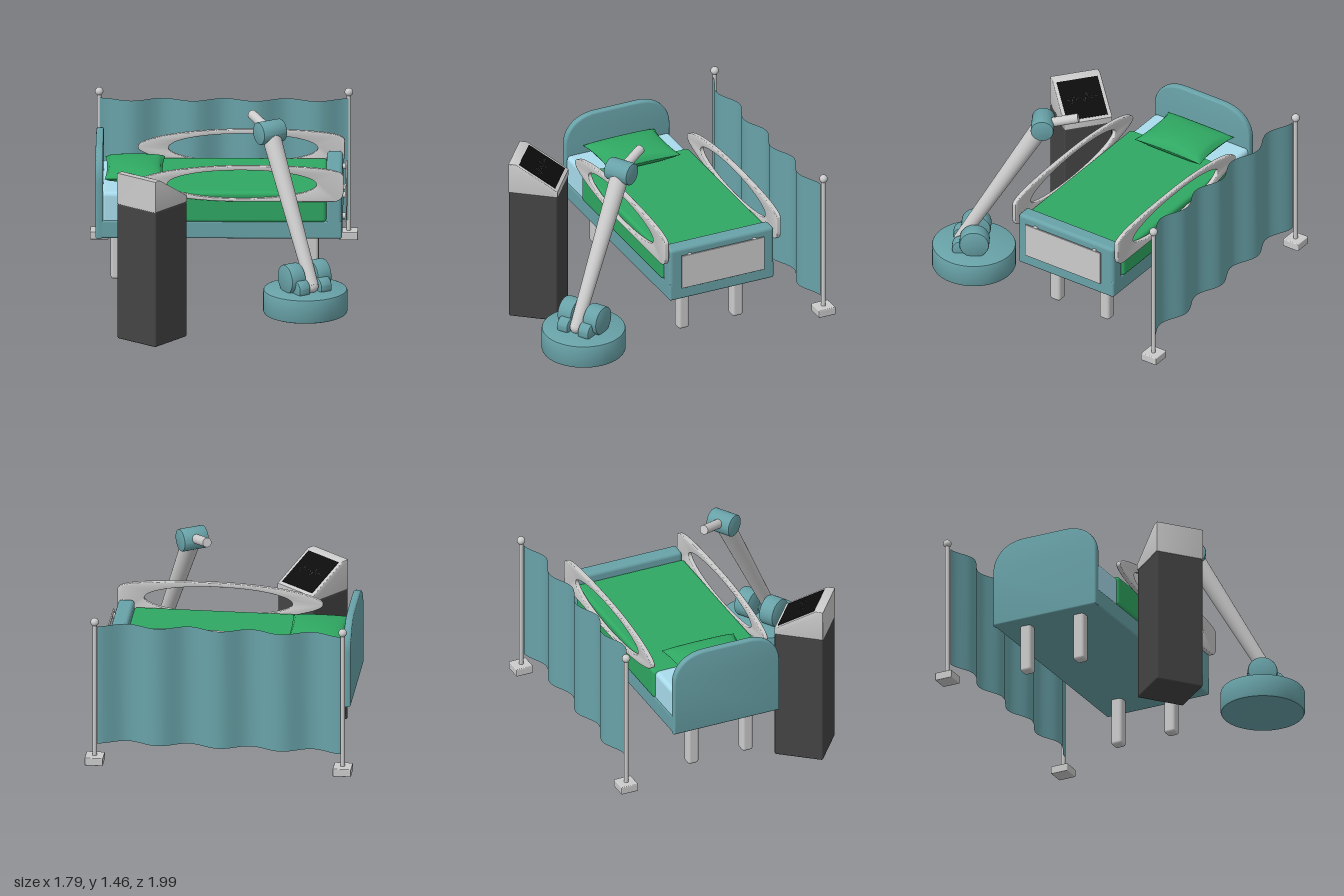
import * as THREE from 'three';
import { mergeVertices, toCreasedNormals } from 'three/addons/utils/BufferGeometryUtils.js';
import { RoundedBoxGeometry } from 'three/addons/geometries/RoundedBoxGeometry.js';

const mat = (color) => new THREE.MeshStandardMaterial({ color });
const GREY = mat(0xcccccc), TEAL = mat(0x68a2a8), GREEN = mat(0x2fa862), SHEET = mat(0xa9dcec);
const DARK = mat(0x444444), BLACK = mat(0x0c0c0c), TRACE = mat(0x666666);
const CLOTH = mat(0x68a2a8);
CLOTH.side = THREE.DoubleSide;

function add(parent, name, geometry, material, x = 0, y = 0, z = 0) {
  const mesh = new THREE.Mesh(geometry, material);
  mesh.name = name;
  mesh.position.set(x, y, z);
  parent.add(mesh);
  return mesh;
}

function group(parent, name, x = 0, y = 0, z = 0) {
  const g = new THREE.Group();
  g.name = name;
  g.position.set(x, y, z);
  parent.add(g);
  return g;
}

// Rounded box given by its limits on each axis
function block(parent, name, material, [x0, x1], [y0, y1], [z0, z1], r = 0.015) {
  const geo = new RoundedBoxGeometry(x1 - x0, y1 - y0, z1 - z0, 3, r);
  return add(parent, name, geo, material, (x0 + x1) / 2, (y0 + y1) / 2, (z0 + z1) / 2);
}

// Cylinder running between two points
function rod(parent, name, material, from, to, r0, r1 = r0) {
  const a = new THREE.Vector3(...from), b = new THREE.Vector3(...to);
  const dir = b.clone().sub(a);
  const mesh = add(parent, name, new THREE.CylinderGeometry(r1, r0, dir.length(), 32), material);
  mesh.position.copy(a).add(b).multiplyScalar(0.5);
  mesh.quaternion.setFromUnitVectors(new THREE.Vector3(0, 1, 0), dir.normalize());
  return mesh;
}

// Solid of revolution with softly bevelled rims, centred on its axis
function drum(r, h, bevel) {
  const p = [[0, -h / 2], [r - bevel, -h / 2], [r - bevel * 0.3, -h / 2 + bevel * 0.3], [r, -h / 2 + bevel],
    [r, h / 2 - bevel], [r - bevel * 0.3, h / 2 - bevel * 0.3], [r - bevel, h / 2], [0, h / 2]];
  return toCreasedNormals(new THREE.LatheGeometry(p.map((q) => new THREE.Vector2(...q)), 48), 0.6);
}

function extrude(shape, depth, bevel) {
  const geo = new THREE.ExtrudeGeometry(shape, {
    depth: depth - 2 * bevel, bevelEnabled: bevel > 0, bevelSize: bevel, bevelThickness: bevel,
    bevelOffset: -bevel, bevelSegments: 3, curveSegments: 32,
  });
  geo.translate(0, 0, bevel - depth / 2);
  return toCreasedNormals(geo, 0.6);
}

// Cushion with pinched sides and thin drawn-out corners
function pillowGeometry() {
  const geo = new THREE.BoxGeometry(2, 2, 2, 24, 1, 24);
  const p = geo.attributes.position;
  for (let i = 0; i < p.count; i++) {
    const u = p.getX(i), w = p.getZ(i);
    const thick = 0.06 * Math.pow((1 - u * u) * (1 - w * w), 0.4);
    p.setXYZ(i, 0.2 * u * (1 - 0.07 * (1 - w * w)), p.getY(i) * (thick + 0.001), 0.265 * w * (1 - 0.08 * (1 - u * u)));
  }
  geo.deleteAttribute('normal');
  geo.deleteAttribute('uv');
  const smooth = mergeVertices(geo);
  smooth.computeVertexNormals();
  return smooth;
}

function buildBed(root) {
  const bed = group(root, 'bed');
  block(bed, 'bedFrame', TEAL, [-0.84, 0.8], [0.58, 0.705], [-0.59, 0.185]);
  block(bed, 'footboard', TEAL, [0.69, 0.8], [0.58, 0.965], [-0.59, 0.185], 0.025);
  block(bed, 'mattress', SHEET, [-0.81, 0.7], [0.68, 0.9], [-0.585, 0.18], 0.03);
  block(bed, 'blanket', GREEN, [-0.54, 0.695], [0.695, 0.91], [-0.6, 0.195], 0.025);
  add(bed, 'pillow', pillowGeometry(), GREEN, -0.59, 0.955, -0.205);

  // Arched headboard
  const arch = new THREE.Shape();
  arch.moveTo(-0.388, 0.58);
  arch.lineTo(0.388, 0.58);
  arch.lineTo(0.388, 0.965);
  arch.bezierCurveTo(0.388, 1.09, 0.3, 1.178, 0.15, 1.178);
  arch.lineTo(-0.15, 1.178);
  arch.bezierCurveTo(-0.3, 1.178, -0.388, 1.09, -0.388, 0.965);
  add(bed, 'headboard', extrude(arch, 0.05, 0.012).rotateY(Math.PI / 2), TEAL, -0.825, 0, -0.202);

  // Side rails, slim at the head end, with an oval opening
  const rail = new THREE.Shape();
  rail.moveTo(-0.575, 0);
  rail.bezierCurveTo(-0.575, -0.06, -0.25, -0.125, 0.15, -0.125);
  rail.lineTo(0.74, -0.125);
  rail.quadraticCurveTo(0.81, -0.12, 0.81, -0.05);
  rail.lineTo(0.81, 0.05);
  rail.bezierCurveTo(0.81, 0.11, 0.5, 0.125, 0.15, 0.125);
  rail.bezierCurveTo(-0.25, 0.125, -0.575, 0.06, -0.575, 0);
  const opening = new THREE.Path();
  opening.absellipse(0.13, -0.005, 0.5, 0.1, 0, Math.PI * 2, true);
  rail.holes.push(opening);
  for (const z of [0.212, -0.62]) add(bed, 'sideRail', extrude(rail, 0.032, 0.006), GREY, 0, 0.977, z);

  // Legs
  for (const x of [-0.71, 0.6]) for (const z of [0, -0.4])
    block(bed, 'leg', GREY, [x - 0.04, x + 0.04], [0.25, 0.6], [z - 0.04, z + 0.04], 0.02);

  // Chart panel on the footboard
  block(bed, 'footPanel', GREY, [0.818, 0.83], [0.675, 0.922], [-0.505, 0.11], 0.004);
  for (const y of [0.7, 0.9]) for (const z of [0.04, -0.44])
    rod(bed, 'panelClip', GREY, [0.79, y, z], [0.822, y, z], 0.02);
}

function buildCurtain(root) {
  const screen = group(root, 'curtainScreen', 0, 0, -0.94);
  for (const x of [-0.837, 0.833]) {
    rod(screen, 'curtainPole', GREY, [x, 0.28, 0], [x, 1.25, 0], 0.015);
    add(screen, 'poleBall', new THREE.SphereGeometry(0.028, 24, 16), GREY, x, 1.265, 0);
    block(screen, 'poleFoot', GREY, [x - 0.062, x + 0.062], [0.245, 0.3], [-0.062, 0.062], 0.006);
  }
  // Hanging cloth in regular folds
  const cloth = new THREE.PlaneGeometry(1.66, 0.85, 96, 1);
  const p = cloth.attributes.position;
  for (let i = 0; i < p.count; i++) p.setZ(i, 0.053 - 0.034 * Math.cos((p.getX(i) * Math.PI * 2) / 0.415));
  cloth.computeVertexNormals();
  add(screen, 'curtain', cloth, CLOTH, 0, 0.8, 0);
}

function buildMonitor(root) {
  const unit = group(root, 'monitorUnit', -0.467, 0, 0.548);
  unit.rotation.y = -0.68;
  block(unit, 'cabinet', DARK, [-0.167, 0.167], [0, 0.945], [-0.167, 0.167], 0.012);

  // Wedge-shaped console
  const side = new THREE.Shape([[-0.168, 0.942], [0.168, 0.942], [0.168, 1.157], [0.117, 1.157], [-0.168, 0.985]]
    .map((q) => new THREE.Vector2(...q)));
  add(unit, 'console', extrude(side, 0.336, 0.004).rotateY(-Math.PI / 2), GREY);

  // Tilted display with a trace line
  const display = group(unit, 'display', 0, 1.072, -0.023);
  display.rotation.x = -0.542;
  add(display, 'displayGlass', new THREE.BoxGeometry(0.285, 0.008, 0.29), BLACK);
  const beats = [0, 0, 0.01, -0.01, 0, 0.035, -0.03, 0, 0.012, 0, 0, 0.03, -0.03, 0, 0];
  const line = new THREE.CatmullRomCurve3(beats.map((v, i) => new THREE.Vector3(-0.11 + i * 0.0157, 0.005, v)));
  add(display, 'traceLine', new THREE.TubeGeometry(line, 90, 0.0012, 5), TRACE);
}

function buildArm(root) {
  const robot = group(root, 'roboticArm', 0.56, 0, 0.71);
  robot.rotation.y = 0.547;
  add(robot, 'armBase', drum(0.282, 0.166, 0.014), TEAL, 0, 0.314, 0);

  // Paired shoulder cheeks and pivot lugs
  for (const s of [-1, 1]) {
    const cheek = add(robot, 'shoulderCheek', drum(0.1, 0.11, 0.012), TEAL, s * 0.1, 0.48, -0.01);
    const lug = add(robot, 'pivotLug', drum(0.062, 0.085, 0.012), TEAL, s * 0.083, 0.425, 0.08);
    cheek.rotation.z = lug.rotation.z = Math.PI / 2;
  }

  // Long arm, head joint and tool
  rod(robot, 'mainArm', GREY, [0, 0.435, 0.09], [0, 1.37, -0.462], 0.043, 0.064);
  add(robot, 'armEnd', new THREE.SphereGeometry(0.043, 24, 16), GREY, 0, 0.435, 0.09);
  add(robot, 'headJoint', drum(0.077, 0.18, 0.008), TEAL, 0, 1.37, -0.462).rotation.z = Math.PI / 2;
  rod(robot, 'tool', GREY, [0, 1.375, -0.462], [0, 1.43, -0.7], 0.032);
}

export function createModel() {
  const model = new THREE.Group();
  model.name = 'hospitalBedWithEquipment';
  buildBed(model);
  buildCurtain(model);
  buildMonitor(model);
  buildArm(model);
  return model;
}
